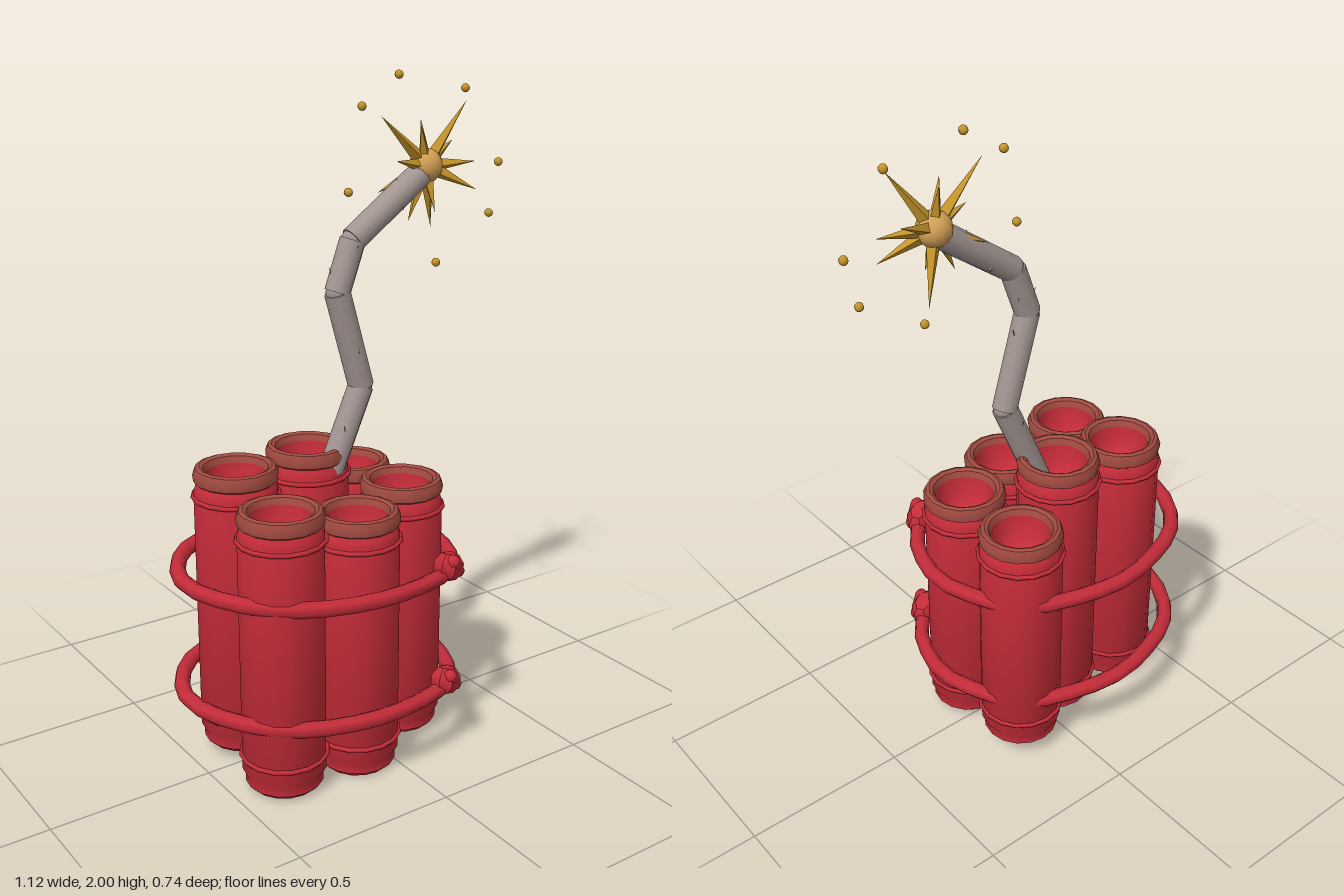
import * as THREE from 'three';
import { toCreasedNormals } from 'three/addons/utils/BufferGeometryUtils.js';

const material = (name, color) => {
  const m = new THREE.MeshStandardMaterial({ color });
  m.name = name;
  return m;
};
const V = (x, y, z = 0) => new THREE.Vector3(x, y, z);

export function createModel() {
  const red = material('red paper', 0xc42c39);
  const lipBrown = material('rim brown', 0xa04a40);
  const capBrown = material('base brown', 0x8f6a3e);
  const grey = material('fuse grey', 0xa39592);
  const amber = material('ember', 0xd2a054);
  const gold = material('spark gold', 0xc6952a);

  const model = new THREE.Group();
  const add = (parent, name, geometry, mat) => {
    const mesh = new THREE.Mesh(geometry, mat);
    mesh.name = name;
    parent.add(mesh);
    return mesh;
  };
  const lathe = (points, sides = 16) => toCreasedNormals(
    new THREE.LatheGeometry(points.map(([x, y]) => new THREE.Vector2(x, y)), sides), 0.7);

  // Sticks: x, z, bottom, top
  const sticks = [
    [-0.33, -0.09, 0.03, 0.91], [-0.09, -0.08, 0.01, 0.935], [0.127, -0.17, 0.055, 0.82],
    [-0.337, 0.165, 0.005, 0.86], [-0.09, 0.18, 0, 0.81], [0.14, 0.08, 0.02, 0.83],
  ];
  for (const [x, z, bottom, top] of sticks) {
    const stick = new THREE.Group();
    stick.name = 'stick';
    stick.position.set(x, bottom, z);
    model.add(stick);
    const h = top - bottom;
    add(stick, 'stickBody', lathe([
      [0.1, 0], [0.115, 0.015], [0.115, 0.04], [0.124, 0.055], [0.124, h - 0.075],
      [0.12, h - 0.06], [0.112, h - 0.045],
    ]), red);
    add(stick, 'stickBase', lathe([[0, 0.004], [0.1, 0]]), capBrown);
    add(stick, 'stickRim', lathe([
      [0.113, h - 0.05], [0.123, h - 0.043], [0.126, h - 0.022], [0.118, h - 0.004],
      [0.107, h], [0.096, h - 0.006], [0.089, h - 0.025],
    ]), lipBrown);
    add(stick, 'stickHollow', lathe([
      [0.089, h - 0.025], [0.084, h - 0.07], [0.066, h - 0.11], [0.036, h - 0.13], [0, h - 0.137],
    ]), red);
    for (const y of [0.1, h - 0.09]) {
      const ring = add(stick, 'stickRing', new THREE.TorusGeometry(0.126, 0.007, 6, 16), red);
      ring.rotation.x = Math.PI / 2;
      ring.position.y = y;
    }
  }

  // Ropes, each a loose loop with a knot at the front
  const loop = [
    [-0.12, 0.345], [-0.35, 0.285], [-0.465, 0.18], [-0.54, 0], [-0.505, -0.14], [-0.41, -0.255],
    [-0.27, -0.32], [-0.12, -0.348], [0.06, -0.31], [0.19, -0.245], [0.25, -0.14], [0.292, 0],
    [0.28, 0.09], [0.22, 0.23], [0.14, 0.3],
  ];
  for (const y of [0.6, 0.23]) {
    const rope = new THREE.Group();
    rope.name = 'rope';
    rope.position.y = y;
    model.add(rope);
    const curve = new THREE.CatmullRomCurve3(
      loop.map(([x, z]) => V(x, -0.02 * x - 0.015 * z, z)), true);
    add(rope, 'ropeLoop', new THREE.TubeGeometry(curve, 30, 0.024, 7, true), red);
    const knot = add(rope, 'knot', toCreasedNormals(new THREE.SphereGeometry(1, 7, 5), 0.6), red);
    knot.scale.set(0.062, 0.045, 0.045);
    knot.position.set(0.155, 0.01, 0.295);
    knot.rotation.set(0, 0.55, -0.35);
    const strand = add(rope, 'knotStrand', new THREE.CapsuleGeometry(0.021, 0.06, 3, 7), red);
    strand.position.set(0.165, 0.015, 0.315);
    strand.rotation.set(0, 0.55, 0.75);
  }

  // Fuse: jointed straight lengths
  const fuse = new THREE.Group();
  fuse.name = 'fuse';
  model.add(fuse);
  const up = V(0, 1, 0);
  const between = (mesh, a, b) => {
    mesh.position.copy(a).lerp(b, 0.5);
    mesh.quaternion.setFromUnitVectors(up, b.clone().sub(a).normalize());
    return mesh;
  };
  const path = [V(-0.083, 0.81), V(0.048, 1.108), V(-0.035, 1.395), V(0.018, 1.54), V(0.265, 1.715)];
  for (let i = 0; i < path.length - 1; i++) {
    const length = path[i].distanceTo(path[i + 1]);
    between(add(fuse, 'fuseLength',
      new THREE.CylinderGeometry(0.038, 0.038, length, 12), grey), path[i], path[i + 1]);
    // Frayed slivers along each length
    for (let k = 0; k < 3; k++) {
      const angle = i * 1.7 + k * 2.2;
      const fray = add(fuse, 'fray', new THREE.ConeGeometry(0.008, 0.05, 4), grey);
      fray.position.copy(path[i]).lerp(path[i + 1], 0.35 + k * 0.22);
      fray.position.add(V(Math.cos(angle) * 0.034, 0, Math.sin(angle) * 0.034));
      fray.quaternion.setFromUnitVectors(up, V(Math.cos(angle) * 0.3, 1, Math.sin(angle) * 0.3).normalize());
    }
  }
  for (const joint of [path[1], path[2], path[3]]) {
    add(fuse, 'fuseJoint', new THREE.SphereGeometry(0.034, 12, 8), grey).position.copy(joint);
  }

  // Burning tip: ember with radiating spikes
  const burst = new THREE.Group();
  burst.name = 'burst';
  model.add(burst);
  const centre = V(0.275, 1.73);
  add(burst, 'ember', new THREE.SphereGeometry(0.05, 14, 10), amber).position.copy(centre);
  const tips = [
    [0.10, 1.88, 0.02], [0.225, 1.85, 0.04], [0.285, 1.86, -0.04], [0.405, 1.91, 0.02],
    [0.42, 1.79, -0.06], [0.435, 1.735, 0.03], [0.425, 1.655, 0.05], [0.335, 1.54, -0.05],
    [0.28, 1.6, 0.04], [0.19, 1.58, 0.03], [0.125, 1.66, -0.03], [0.14, 1.755, 0.04],
  ];
  for (const tip of tips) {
    const end = V(...tip);
    const spike = new THREE.ConeGeometry(0.025, centre.distanceTo(end), 4).toNonIndexed();
    spike.computeVertexNormals();
    between(add(burst, 'spike', spike, gold), centre, end);
  }

  // Loose sparks
  const sparks = [
    [0.07, 1.905, -0.03], [0.205, 1.986, -0.04], [0.44, 1.94, -0.03], [0.55, 1.722, 0],
    [0.505, 1.575, 0.015], [0.295, 1.45, 0.03], [0.003, 1.675, 0],
  ];
  for (const p of sparks) {
    add(burst, 'spark', new THREE.SphereGeometry(0.013, 8, 6), gold).position.set(...p);
  }
  return model;
}
